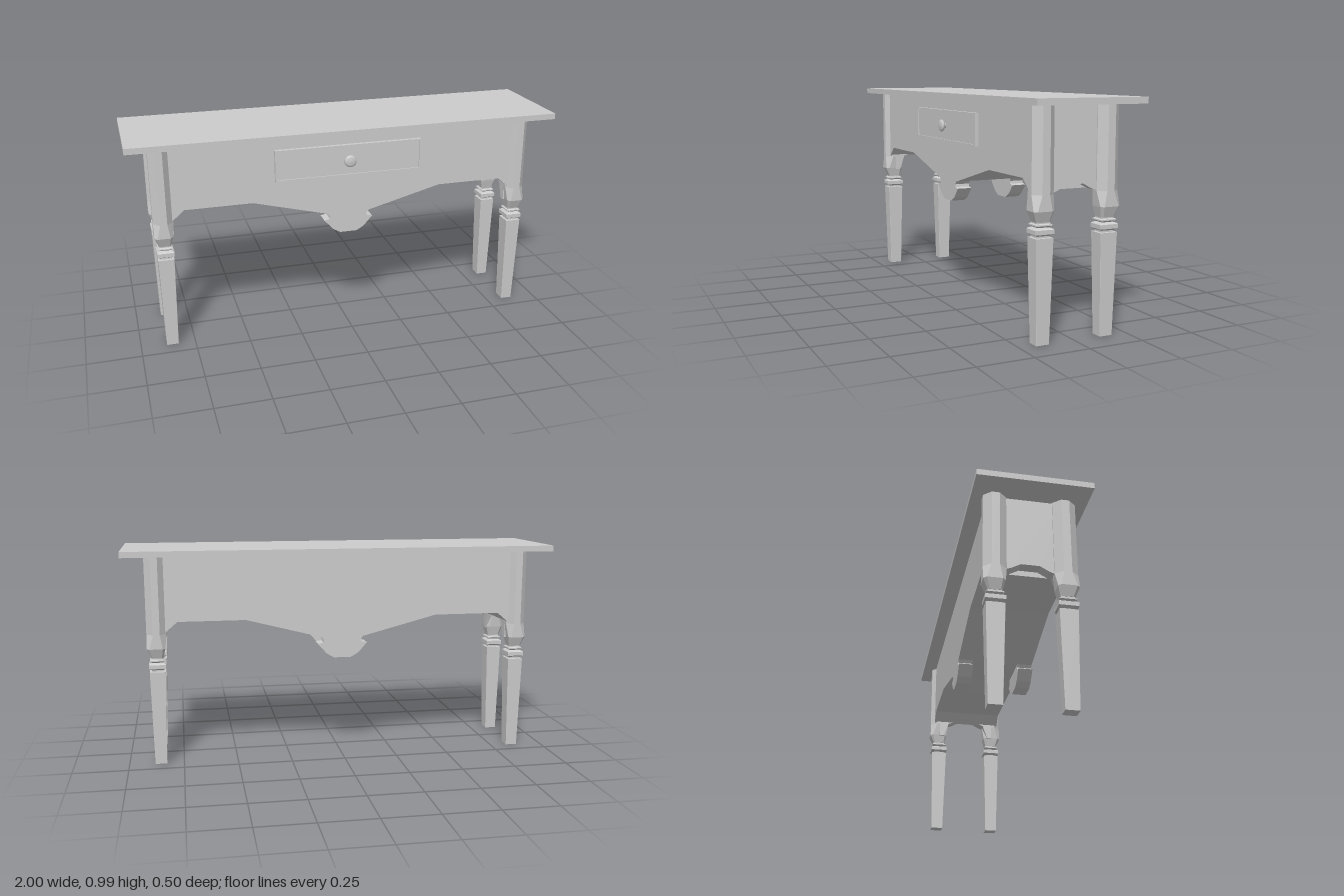
import * as THREE from 'three';

const material = new THREE.MeshStandardMaterial({ color: 0xcccccc, flatShading: true });
const smooth = new THREE.MeshStandardMaterial({ color: 0xcccccc });

function add(parent, name, geometry, mat = material) {
  const mesh = new THREE.Mesh(geometry, mat);
  mesh.name = name;
  parent.add(mesh);
  return mesh;
}

function box(parent, name, w, h, d, x, y, z) {
  add(parent, name, new THREE.BoxGeometry(w, h, d)).position.set(x, y, z);
}

// Outline given for its positive half, mirrored to the negative half
function mirroredShape(half) {
  const left = half.map(([x, y]) => [-x, y]).reverse();
  return new THREE.Shape([...half, ...left].map(([x, y]) => new THREE.Vector2(x, y)));
}

function slab(shape, from, to) {
  const g = new THREE.ExtrudeGeometry(shape, { depth: to - from, bevelEnabled: false });
  return g.translate(0, 0, from);
}

// Chamfered-square sections [y, outer half, inner half, chamfer], joined from bottom to top
function loft(sections, sx, sz) {
  const pos = [], index = [], n = 8;
  for (const [y, outer, inner, c] of sections) {
    const x1 = sx > 0 ? outer : inner, x0 = sx > 0 ? inner : outer;
    const z1 = sz > 0 ? outer : inner, z0 = sz > 0 ? inner : outer;
    const ring = [[x1, z1 - c], [x1 - c, z1], [c - x0, z1], [-x0, z1 - c],
      [-x0, c - z0], [c - x0, -z0], [x1 - c, -z0], [x1, c - z0]];
    for (const [x, z] of ring) pos.push(x * 0.9, y, z);
  }
  for (let s = 0; s < sections.length - 1; s++) {
    for (let i = 0; i < n; i++) {
      const a = s * n + i, b = s * n + (i + 1) % n;
      index.push(a, a + n, b, b, a + n, b + n);
    }
  }
  const top = (sections.length - 1) * n;
  for (let i = 1; i < n - 1; i++) {
    index.push(0, i, i + 1, top, top + i + 1, top + i);
  }
  const g = new THREE.BufferGeometry();
  g.setAttribute('position', new THREE.Float32BufferAttribute(pos, 3));
  g.setIndex(index);
  const flat = g.toNonIndexed();
  flat.computeVertexNormals();
  return flat;
}

export function createModel() {
  const model = new THREE.Group();
  model.name = 'consoleTable';

  box(model, 'tableTop', 2, 0.027, 0.5, 0, 0.977, 0);

  // Solid body with a shaped lower edge
  add(model, 'apron', slab(mirroredShape([
    [0.1, 0.574], [0.45, 0.665], [0.76, 0.665], [0.815, 0.618], [0.815, 0.965],
  ]), -0.18, 0.18));

  // Hanging ornaments under the front and back
  const pendant = mirroredShape([
    [0.04, 0.475], [0.075, 0.495], [0.117, 0.542], [0.09, 0.547], [0.088, 0.56], [0.1, 0.576],
  ]);
  add(model, 'frontPendant', slab(pendant, 0.11, 0.18));
  add(model, 'backPendant', slab(pendant, -0.18, -0.11));

  // Arched end panels
  const endShape = mirroredShape([
    [0.04, 0.642], [0.08, 0.62], [0.1, 0.613], [0.125, 0.54], [0.15, 0.54], [0.15, 0.965],
  ]);
  for (const s of [-1, 1]) {
    const panel = add(model, s > 0 ? 'leftEndPanel' : 'rightEndPanel', slab(endShape, 0.81, 0.865));
    panel.rotation.y = s * Math.PI / 2;
  }

  // Legs: tapered foot, square collars, then an octagonal post
  const e = 0.001;
  const turned = [
    [0, 0.03], [0.437, 0.04], [0.438, 0.028], [0.445, 0.028], [0.45, 0.037], [0.453, 0.043],
    [0.471, 0.043], [0.475, 0.037], [0.479, 0.026], [0.482, 0.03], [0.486, 0.037],
    [0.491, 0.037], [0.495, 0.029], [0.502, 0.029],
  ].map(([y, h]) => [y, h, h, e]);
  const post = [
    [0.5, 0.031, 0.031, 0.008], [0.545, 0.05, 0.042, 0.013],
    [0.61, 0.05, 0.05, 0.033], [0.965, 0.05, 0.05, 0.033],
  ];
  for (const sx of [-1, 1]) {
    for (const sz of [-1, 1]) {
      const leg = new THREE.Group();
      leg.name = (sz > 0 ? 'front' : 'back') + (sx > 0 ? 'Left' : 'Right') + 'Leg';
      add(leg, 'foot', loft(turned, sx, sz));
      add(leg, 'post', loft(post, sx, sz));
      leg.position.set(sx * 0.855, 0, sz * 0.15);
      model.add(leg);
    }
  }

  // Drawer front with a raised rim and a round knob
  const drawer = new THREE.Group();
  drawer.name = 'drawer';
  drawer.position.set(0, 0.833, 0);
  const rect = (C, w, h) => new C([[-w, -h], [w, -h], [w, h], [-w, h]]
    .map(([x, y]) => new THREE.Vector2(x, y)));
  const rim = rect(THREE.Shape, 0.347, 0.074);
  rim.holes.push(rect(THREE.Path, 0.339, 0.066));
  add(drawer, 'drawerRim', slab(rim, 0.17, 0.198));
  box(drawer, 'drawerPanel', 0.68, 0.134, 0.02, 0, 0, 0.182);
  const knobProfile = [[0.012, 0], [0.012, 0.012], [0.024, 0.014], [0.029, 0.02],
    [0.027, 0.026], [0.018, 0.03], [0, 0.031]].map(([r, y]) => new THREE.Vector2(r, y));
  const knob = add(drawer, 'knob', new THREE.LatheGeometry(knobProfile, 24), smooth);
  knob.rotation.x = Math.PI / 2;
  knob.position.z = 0.19;
  model.add(drawer);

  return model;
}
